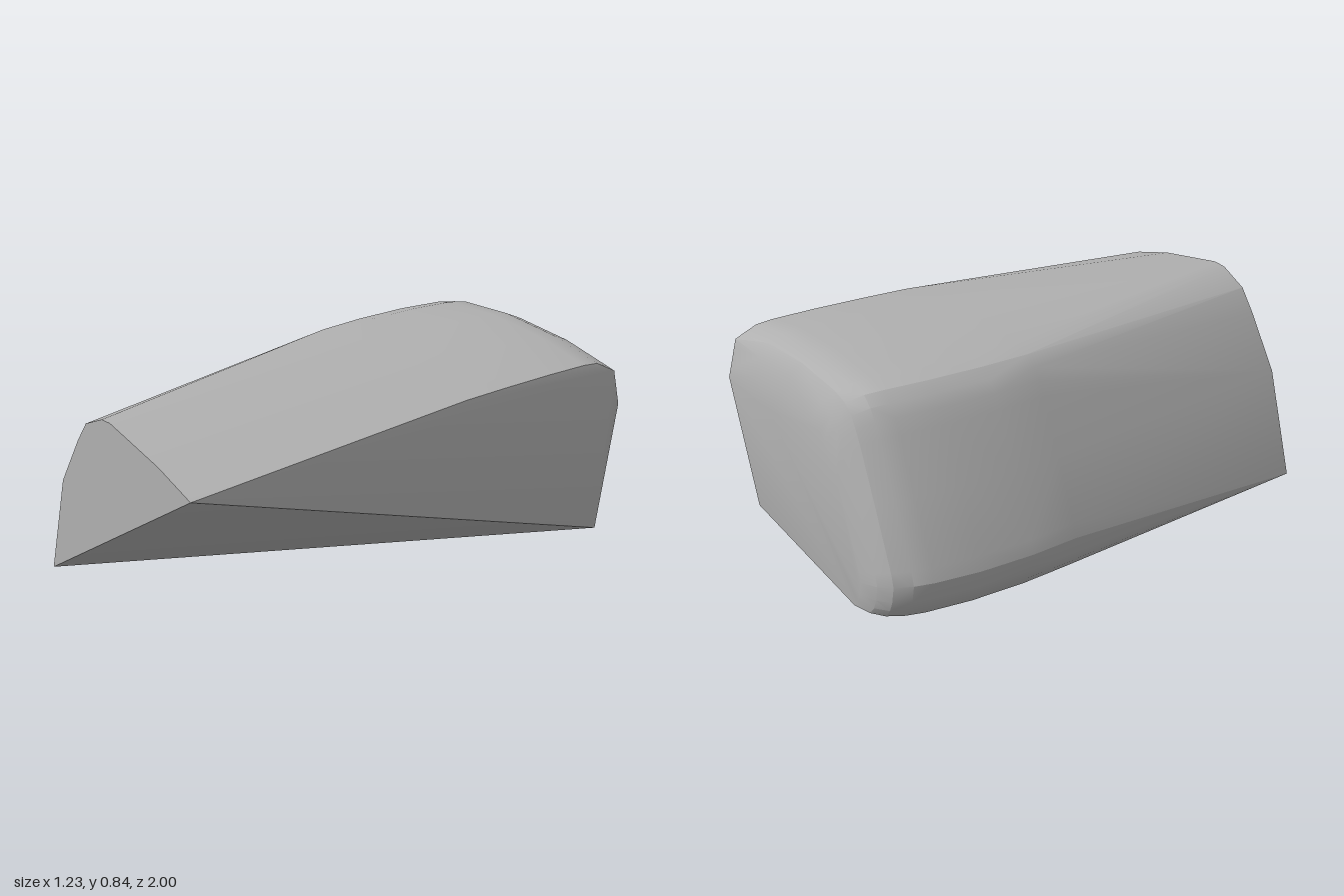
import * as THREE from 'three';
import { ConvexGeometry } from 'three/addons/geometries/ConvexGeometry.js';
import { toCreasedNormals } from 'three/addons/utils/BufferGeometryUtils.js';

export function createModel() {
  const group = new THREE.Group();
  const stone = new THREE.MeshStandardMaterial({ color: 0xb0b0b0 });
  stone.name = 'stone grey';
  const points = [];
  const add = (x, y, z) => points.push(new THREE.Vector3(x, y, z));

  // flat front end: a sliver of the cross-section, cut off by the slanted face
  const frontEnd = [[-0.44, 0.02], [-0.31, 0.44], [-0.17, 0.65], [-0.1, 0.74],
    [0.02, 0.795], [0.08, 0.8], [0.4, 0.745], [0.6, 0.69]];
  for (const [x, y] of frontEnd) add(x, y, 1);

  // full cross-section, from the lower left edge over the top to the right side
  const profile = [[-0.55, 0.015], [-0.585, 0.055], [-0.605, 0.1], [-0.62, 0.17], [-0.605, 0.225],
    [-0.5, 0.46], [-0.405, 0.665], [-0.375, 0.72], [-0.345, 0.765], [-0.3, 0.8],
    [-0.22, 0.82], [0.05, 0.838], [0.35, 0.82], [0.6, 0.775]];

  // stations towards the rounded back: z, width scale, height scale
  const stations = [[-0.2, 0.988, 0.993], [-0.4, 1, 0.998], [-0.62, 0.996, 1], [-0.8, 0.975, 0.997],
    [-0.87, 0.957, 0.988], [-0.93, 0.925, 0.955], [-0.965, 0.88, 0.89], [-0.985, 0.81, 0.79]];
  for (const [z, sx, sy] of stations) {
    for (const [x, y] of profile) add(0.6 + (x - 0.6) * sx, Math.max(0.012, y * sy), z);
  }

  // back face, right edge and the lower back edge
  add(0.61, 0.57, -0.995);
  add(0.613, 0.72, -0.955);
  add(0.25, 0.57, -1);
  add(-0.25, 0.5, -0.99);
  add(0.6, 0.04, -0.92);
  add(0.54, 0.02, -0.94);
  add(0.1, 0.002, -0.95);
  add(-0.2, 0.002, -0.95);
  add(-0.25, 0.02, -0.98);

  const body = new THREE.Mesh(toCreasedNormals(new ConvexGeometry(points), 0.4), stone);
  body.name = 'roundedBlock';
  group.add(body);
  return group;
}
